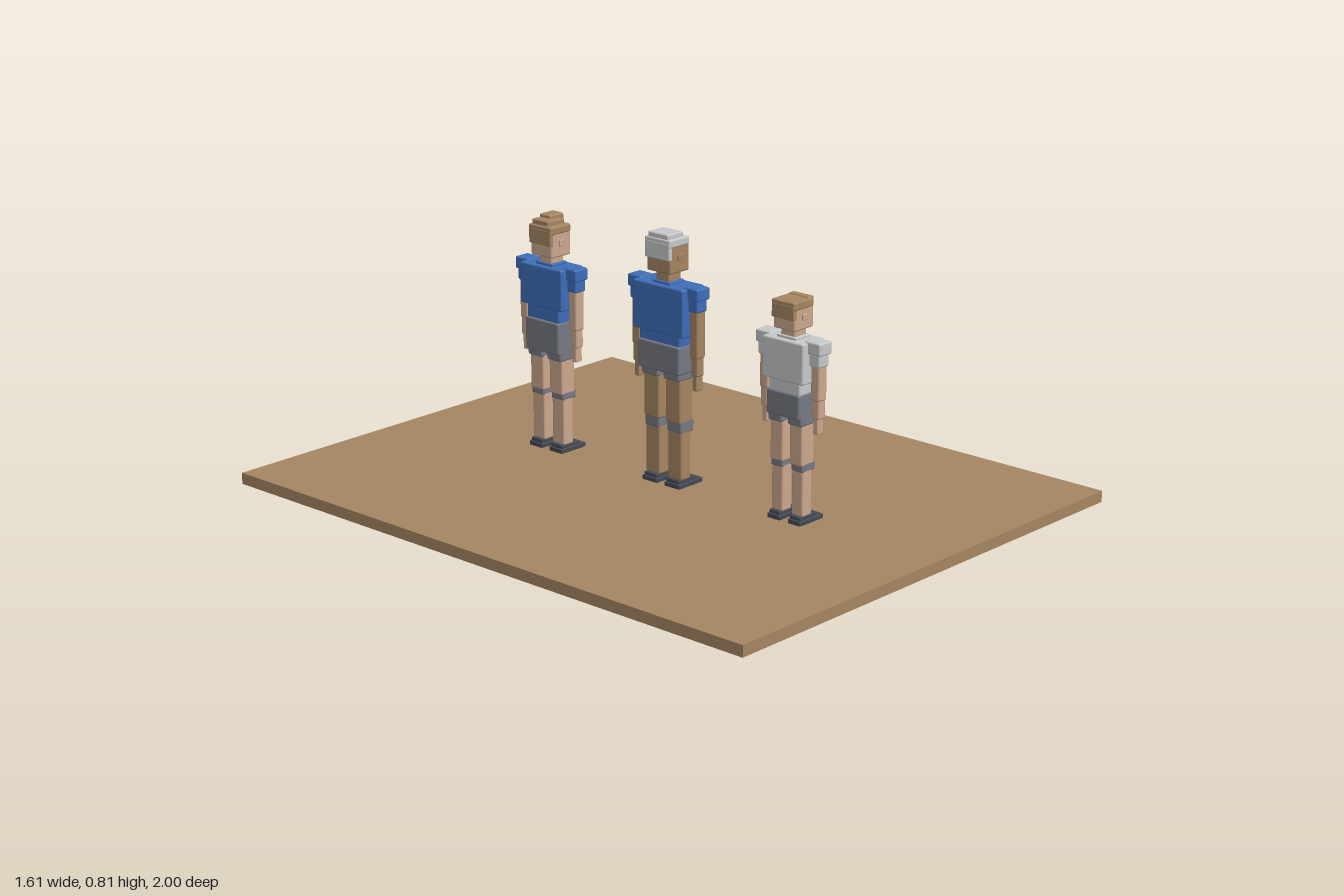
import * as THREE from 'three';
import { RoundedBoxGeometry } from 'three/addons/geometries/RoundedBoxGeometry.js';

const mat = (name, color) => {
  const m = new THREE.MeshStandardMaterial({ color });
  m.name = name;
  return m;
};

export function createModel() {
  const M = {
    brown: mat('brown', 0xa68763),
    skin: mat('light skin', 0xcda98f),
    blue: mat('blue cloth', 0x3f6fba),
    white: mat('pale grey', 0xc8cacc),
    grey: mat('shorts grey', 0x777a84),
    dark: mat('shoe dark', 0x454a55),
    ink: mat('face dark', 0x3a2c24),
  };

  // Box given by its limits on each axis, with slightly softened edges
  function box(parent, name, material, x0, x1, y0, y1, z0, z1) {
    const w = x1 - x0, h = y1 - y0, d = z1 - z0;
    const r = Math.min(0.006, Math.min(w, h, d) * 0.2);
    const mesh = new THREE.Mesh(new RoundedBoxGeometry(w, h, d, 1, r), material);
    mesh.position.set((x0 + x1) / 2, (y0 + y1) / 2, (z0 + z1) / 2);
    mesh.name = name;
    parent.add(mesh);
    return mesh;
  }

  // A standing figure facing +x, built upward from the board
  function figure(name, p) {
    const g = new THREE.Group();
    g.name = name;
    const { skin, shirt, hair } = p;

    for (const s of [1, -1]) {
      const side = s > 0 ? 'Left' : 'Right';
      const pair = (n, m, x0, x1, y0, y1, a, b) =>
        box(g, n + side, m, x0, x1, y0, y1, Math.min(s * a, s * b), Math.max(s * a, s * b));
      // leg
      const a = 0.015, b = p.leg;
      pair('shoe', M.dark, -0.035, 0.07, 0.035, 0.05, a, b + 0.002);
      pair('shoeUpper', M.dark, -0.03, 0.045, 0.045, 0.061, a + 0.003, b - 0.002);
      pair('shin', skin, -0.021, 0.021, 0.058, p.knee[0] + 0.01, a + 0.001, b - 0.001);
      pair('kneePad', M.grey, -0.024, 0.033, p.knee[0], p.knee[1], a + 0.001, b);
      pair('thigh', skin, -0.028, 0.028, p.knee[1] - 0.01, p.shorts[0], a - 0.003, b);
      pair('shortsLeg', M.grey, -0.036, 0.036, p.shorts[0] - 0.022, p.shorts[0] + 0.02, a - 0.004, b + 0.002);
      // arm
      const c = p.arm;
      pair('shoulder', shirt, -0.027, 0.027, p.chest[1] - 0.034, p.chest[1] + 0.005, p.chestHalf - 0.015, c);
      pair('sleeve', shirt, -0.022, 0.022, p.chest[1] - 0.07, p.chest[1] - 0.03, c - 0.045, c - 0.006);
      pair('upperArm', skin, -0.018, 0.018, p.hand + 0.1, p.chest[1] - 0.065, c - 0.041, c - 0.009);
      pair('forearm', skin, -0.015, 0.015, p.hand + 0.045, p.hand + 0.11, c - 0.038, c - 0.011);
      pair('hand', skin, -0.013, 0.014, p.hand, p.hand + 0.05, c - 0.034, c - 0.016);
    }

    // trunk
    const hip = p.hipHalf, ch = p.chestHalf;
    box(g, 'shorts', M.grey, -0.046, 0.046, p.shorts[0], p.shorts[1], -hip, hip);
    box(g, 'waist', shirt, -0.039, 0.039, p.shorts[1] - 0.01, p.chest[0] + 0.01, -hip + 0.003, hip - 0.003);
    box(g, 'chest', shirt, -0.048, 0.048, p.chest[0], p.chest[1], -ch, ch);
    box(g, 'neck', skin, -0.026, 0.026, p.chest[1] - 0.005, p.head[0] + 0.01, -0.027, 0.027);
    box(g, 'collar', shirt, -0.032, 0.032, p.chest[1] - 0.01, p.chest[1] + 0.008, -0.036, 0.036);

    // head and face
    const [h0, h1] = p.head, hh = p.headHalf, H = h1 - h0;
    box(g, 'head', skin, -0.043, 0.04, h0, h1, -hh, hh);
    box(g, 'nose', skin, 0.036, 0.053, h0 + H * 0.36, h0 + H * 0.6, -0.008, 0.008);
    box(g, 'mouth', M.ink, 0.036, 0.042, h0 + H * 0.18, h0 + H * 0.24, -0.016, 0.016);
    for (const s of [1, -1]) {
      box(g, 'eye', M.ink, 0.036, 0.042, h0 + H * 0.58, h0 + H * 0.67, s * 0.021 - 0.006, s * 0.021 + 0.006);
      box(g, 'brow', hair, 0.036, 0.044, h0 + H * 0.72, h0 + H * 0.78, s * 0.021 - 0.011, s * 0.021 + 0.011);
      box(g, 'ear', skin, -0.012, 0.01, h0 + H * 0.38, h0 + H * 0.62, s * hh - 0.005, s * hh + 0.005);
    }
    // hair
    box(g, 'hairCap', hair, -0.049, 0.038, h1 - 0.014, h1 + 0.011, -hh - 0.003, hh + 0.003);
    box(g, 'hairBack', hair, -0.05, -0.035, h0 + H * 0.45, h1, -hh - 0.001, hh + 0.001);
    p.extraHair(g, h1);

    g.position.z = p.z;
    return g;
  }

  const model = new THREE.Group();
  model.name = 'threeFigures';
  const board = new THREE.Mesh(new THREE.BoxGeometry(1.614, 0.035, 2), M.brown);
  board.name = 'baseBoard';
  board.position.y = 0.0175;
  model.add(board);

  model.add(figure('smallFigure', {
    z: 0.48, skin: M.skin, shirt: M.white, hair: M.brown,
    leg: 0.06, knee: [0.193, 0.222], shorts: [0.355, 0.43], hipHalf: 0.061,
    chest: [0.462, 0.585], chestHalf: 0.076, arm: 0.12, hand: 0.315,
    head: [0.612, 0.688], headHalf: 0.04,
    extraHair: (g, y) => box(g, 'fringe', M.brown, 0.02, 0.044, y - 0.014, y + 0.015, -0.038, 0.038),
  }));
  model.add(figure('tallFigure', {
    z: 0, skin: M.brown, shirt: M.blue, hair: M.white,
    leg: 0.073, knee: [0.205, 0.245], shorts: [0.39, 0.478], hipHalf: 0.083,
    chest: [0.508, 0.655], chestHalf: 0.1, arm: 0.14, hand: 0.345,
    head: [0.69, 0.784], headHalf: 0.047,
    extraHair: (g, y) => box(g, 'hairTop', M.white, -0.045, 0.022, y + 0.002, y + 0.026, -0.04, 0.04),
  }));
  model.add(figure('quiffFigure', {
    z: -0.48, skin: M.skin, shirt: M.blue, hair: M.brown,
    leg: 0.068, knee: [0.203, 0.23], shorts: [0.35, 0.452], hipHalf: 0.07,
    chest: [0.492, 0.622], chestHalf: 0.088, arm: 0.129, hand: 0.332,
    head: [0.65, 0.737], headHalf: 0.044,
    extraHair: (g, y) => {
      box(g, 'hairTop', M.brown, -0.042, 0.03, y + 0.004, y + 0.026, -0.04, 0.028);
      box(g, 'quiff', M.brown, -0.01, 0.049, y + 0.006, y + 0.036, -0.04, 0.008);
    },
  }));
  return model;
}
